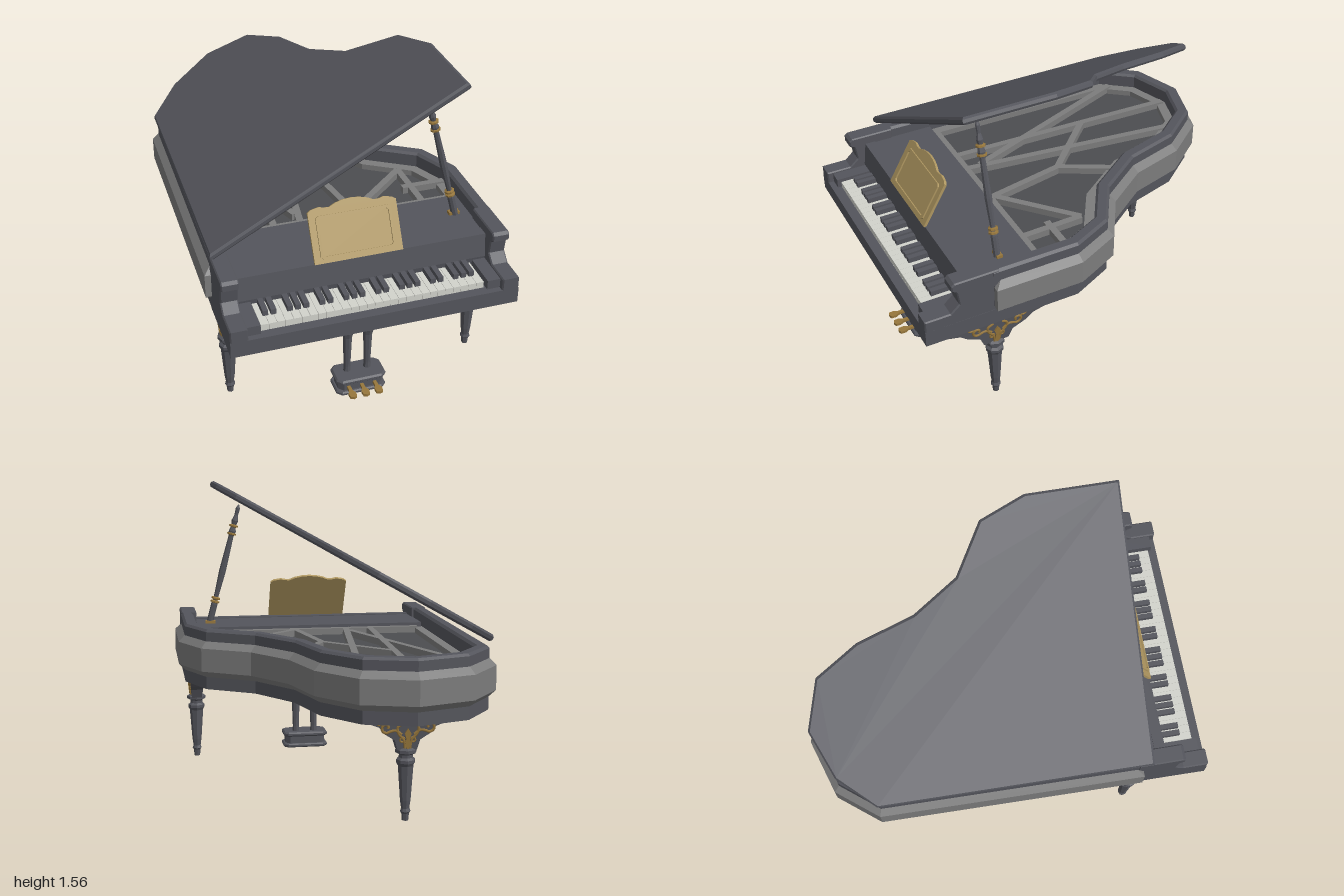
import * as THREE from 'three';

const mat = (name, color) => Object.assign(new THREE.MeshStandardMaterial({ color }), { name });

export function createModel() {
  const model = new THREE.Group();
  model.name = 'grandPiano';
  const body = mat('charcoal lacquer', 0x54555c);
  const grey = mat('grey band', 0x7c7c7c);
  const board = mat('soundboard grey', 0x4c4d50);
  const ivory = mat('ivory', 0xd2d3cc);
  const brass = mat('brass', 0x97773c);
  const deskGold = mat('desk gold', 0xae9660);

  // ---- helpers ----
  const add = (name, geo, material, parent = model) => {
    const m = new THREE.Mesh(geo, material);
    m.name = name;
    parent.add(m);
    return m;
  };
  const group = (name, parent = model) => {
    const g = new THREE.Group();
    g.name = name;
    parent.add(g);
    return g;
  };
  const flat = (g) => {
    const f = g.index ? g.toNonIndexed() : g;
    f.computeVertexNormals();
    return f;
  };
  const box = (name, x0, x1, y0, y1, z0, z1, material, parent) => {
    const m = add(name, new THREE.BoxGeometry(x1 - x0, y1 - y0, z1 - z0), material, parent);
    m.position.set((x0 + x1) / 2, (y0 + y1) / 2, (z0 + z1) / 2);
    return m;
  };
  const lathe = (pts, sides = 8) =>
    flat(new THREE.LatheGeometry(pts.map(([r, y]) => new THREE.Vector2(r, y)), sides));
  const shapeOf = (pts) => new THREE.Shape(pts.map(([a, b]) => new THREE.Vector2(a, b)));
  const extrude = (shape, depth, bevel = 0, bevelT = bevel) => new THREE.ExtrudeGeometry(shape, {
    depth: depth - 2 * bevelT, bevelEnabled: bevel > 0, bevelSegments: 1,
    bevelSize: bevel, bevelThickness: bevelT, bevelOffset: -bevel,
  }).translate(0, 0, bevelT);
  // Plan outline (x, z) raised from y0 to y1
  const slab = (pts, y0, y1, bevel, bevelT) =>
    extrude(shapeOf(pts.map(([x, z]) => [x, -z])), y1 - y0, bevel, bevelT)
      .rotateX(-Math.PI / 2).translate(0, y0, 0);
  // Side profile (z, y) given a width along x
  const sidePlate = (pts, width, bevel) =>
    extrude(shapeOf(pts), width, bevel).translate(0, 0, -width / 2).rotateY(-Math.PI / 2);
  // Inset an open outline, with mitred joints
  const inset = (pts, d) => pts.map((p, i) => {
    const n = (a, b) => {
      const l = Math.hypot(b[0] - a[0], b[1] - a[1]);
      return [-(b[1] - a[1]) / l, (b[0] - a[0]) / l];
    };
    const n1 = i ? n(pts[i - 1], p) : n(p, pts[1]);
    const n2 = i < pts.length - 1 ? n(p, pts[i + 1]) : n1;
    const k = d / (1 + n1[0] * n2[0] + n1[1] * n2[1]);
    return [p[0] + (n1[0] + n2[0]) * k, p[1] + (n1[1] + n2[1]) * k];
  });

  // ---- case ----
  const outline = [[-0.74, 0.65], [-0.725, -0.7], [-0.56, -0.91], [-0.28, -1], [-0.02, -0.92],
    [0.15, -0.7], [0.23, -0.41], [0.39, -0.18], [0.63, -0.03], [0.735, 0.2], [0.735, 0.65]];
  const strip = (a, b) => [...inset(outline, a), ...inset(outline, b).reverse()];
  const rimOuter = inset(outline, 0.033);
  add('rim', slab(strip(0.033, 0.1), 0.52, 0.828, 0.012), body);
  add('sideBand', slab(strip(0, 0.085), 0.58, 0.77, 0.035), grey);
  add('bottomAndKeyBed', slab([[-0.71, 1], ...rimOuter, [0.7, 1]], 0.518, 0.6), body);
  add('soundboard', slab(inset(outline, 0.08), 0.69, 0.72), board);

  const cheek = [[1, 0.52], [1, 0.66], [0.87, 0.66], [0.825, 0.7], [0.835, 0.77], [0.86, 0.785],
    [0.86, 0.815], [0.845, 0.828], [0.62, 0.828], [0.62, 0.52]];
  for (const s of [-1, 1]) {
    add('cheek', sidePlate(cheek, 0.085, 0.006), body).position.x = s * 0.6625 - 0.005;
    const a = s * 0.625 - 0.005, b = s * 0.555 - 0.005;
    box('keyBlock', Math.min(a, b), Math.max(a, b), 0.59, 0.648, 0.77, 0.97, body);
  }
  add('fallboard', sidePlate([[0.79, 0.66], [0.775, 0.78], [0.72, 0.78], [0.72, 0.6], [0.78, 0.6]], 1.25), body);
  box('musicShelf', -0.63, 0.62, 0.73, 0.775, 0.4, 0.74, body);

  // ---- iron frame inside the case ----
  const frame = group('ironFrame');
  add('frameEdge', slab(strip(0.1, 0.15), 0.72, 0.75), grey, frame);
  const struts = [[-0.33, 0.42, -0.29, -0.88], [-0.2, 0.42, -0.05, -0.8], [-0.2, 0.3, -0.58, -0.7],
    [0.1, 0.42, 0.01, -0.05], [0.01, -0.05, 0.16, -0.32], [0.01, -0.05, -0.3, -0.36],
    [0.1, 0.35, 0.44, 0.05], [-0.6, 0.38, 0.62, 0.38], [0.45, 0.4, 0.44, 0.05], [0.4, 0.22, 0.63, 0.22]];
  for (const [x0, z0, x1, z1] of struts) {
    const m = add('strut', new THREE.BoxGeometry(0.035, 0.035, Math.hypot(x1 - x0, z1 - z0)), grey, frame);
    m.position.set((x0 + x1) / 2, 0.742, (z0 + z1) / 2);
    m.rotation.y = Math.atan2(x1 - x0, z1 - z0);
  }

  // ---- keyboard: four octaves ----
  const keys = group('keyboard');
  const pitch = 1.095 / 28;
  for (let i = 0; i < 28; i++) {
    const x = -0.555 + i * pitch;
    box('whiteKey', x + 0.0007, x + pitch - 0.0007, 0.6, 0.633, 0.77, 0.95, ivory, keys);
    if (![2, 6].includes(i % 7))
      box('blackKey', x + pitch - 0.013, x + pitch + 0.013, 0.63, 0.66, 0.77, 0.89, body, keys);
  }

  // ---- open lid, hinged on the straight side ----
  const lidAngle = 0.511;
  const lidPlan = [[-0.715, 0.69], [-0.705, -0.7], [-0.55, -0.88], [-0.33, -0.97], [-0.11, -0.89],
    [0.01, -0.67], [0.09, -0.38], [0.22, -0.15], [0.44, 0], [0.52, 0.23], [0.52, 0.69]]
    .map(([x, z]) => [(x + 0.715) / Math.cos(lidAngle), z]);
  const lid = add('lid', slab(lidPlan, 0, 0.036, 0.01), body);
  lid.position.set(-0.705, 0.84, 0);
  lid.rotation.z = lidAngle;

  // ---- lid prop ----
  const prop = group('lidProp');
  prop.position.set(0.547, 0.775, 0.56);
  prop.rotation.z = 0.255;
  add('propStick', lathe([[0.018, 0], [0.018, 0.11], [0.014, 0.13], [0.013, 0.16], [0.019, 0.3], [0.014, 0.5],
    [0.02, 0.53], [0.012, 0.56], [0.018, 0.59], [0.01, 0.62], [0.012, 0.66], [0.003, 0.68]]), body, prop);
  for (const y of [0.125, 0.145, 0.515, 0.56])
    add('propRing', lathe([[0.014, -0.008], [0.025, -0.004], [0.025, 0.004], [0.014, 0.008]]), brass, prop).position.y = y;
  box('propCatch', 0.515, 0.57, 0.775, 0.79, 0.54, 0.57, brass);

  // ---- music desk ----
  const desk = group('musicDesk');
  desk.position.set(-0.0275, 0.775, 0.77);
  desk.rotation.x = -0.52;
  const half = [[0, 0.283], [0.04, 0.28], [0.08, 0.27], [0.11, 0.256], [0.135, 0.257], [0.16, 0.263],
    [0.2, 0.255], [0.218, 0.243], [0.218, 0]];
  const mirrored = half.slice(1).reverse().map(([x, y]) => [-x, y]);
  add('deskPanel', extrude(shapeOf([...half, ...mirrored]), 0.014), deskGold, desk);
  const rect = (w, y0, y1, c) => [[-w, y0 + c], [-w + c, y0], [w - c, y0], [w, y0 + c],
    [w, y1 - c], [w - c, y1], [-w + c, y1], [-w, y1 - c]];
  const moulding = shapeOf(rect(0.186, 0.018, 0.222, 0.012));
  moulding.holes.push(shapeOf(rect(0.172, 0.032, 0.208, 0.01)));
  add('deskMoulding', extrude(moulding, 0.009), deskGold, desk).position.z = 0.013;

  // ---- legs with brackets and brass scrolls ----
  const legGeo = lathe([[0, 0], [0.016, 0], [0.019, 0.035], [0.026, 0.045], [0.02, 0.06], [0.026, 0.1],
    [0.038, 0.27], [0.046, 0.285], [0.046, 0.3], [0.034, 0.31], [0.034, 0.325], [0.052, 0.335],
    [0.052, 0.35], [0.036, 0.36], [0.04, 0.385], [0.045, 0.42]]);
  const side = [[0.3, 0.52], [0.3, 0.495], [0.19, 0.465], [0.15, 0.43], [0.085, 0.4], [0.065, 0.35]];
  const bracketGeo = extrude(shapeOf([...side, ...side.slice().reverse().map(([a, y]) => [-a, y])]), 0.09)
    .translate(0, 0, -0.045);
  const bp = bracketGeo.attributes.position; // thinner towards the leg
  for (let i = 0; i < bp.count; i++) bp.setZ(i, bp.getZ(i) * (0.6 + 0.4 * (bp.getY(i) - 0.35) / 0.17));
  bracketGeo.computeVertexNormals();

  const tube = (pts, r = 0.007) => new THREE.TubeGeometry(
    new THREE.CatmullRomCurve3(pts.map(([a, b]) => new THREE.Vector3(a, b, 0))), 24, r, 5);
  const spiral = (cx, cy, r, a0, dir) => Array.from({ length: 9 }, (_, i) => {
    const a = a0 + dir * i * 0.75, q = r * (1 - i * 0.085);
    return [cx + q * Math.cos(a), cy + q * Math.sin(a)];
  });
  const leg = (name, x, z, turn, width) => {
    const g = group(name);
    g.position.set(x, 0, z);
    g.rotation.y = turn;
    add('turnedLeg', legGeo, body, g);
    add('bracket', bracketGeo, body, g).scale.x = width;
    const scrolls = group('scrollOrnament', g);
    scrolls.position.set(0, 0.36, 0.03);
    scrolls.rotation.x = 0.11;
    for (const s of [-1, 1]) {
      const flip = (pts) => pts.map(([a, b]) => [a * s, b]);
      add('stem', tube(flip([[0.012, 0], [0.018, 0.04], [0.045, 0.075], [0.05, 0.105], [0.02, 0.125]])), brass, scrolls);
      add('scroll', tube(flip([[0.03, 0.07], [0.06, 0.09], ...spiral(0.105, 0.105, 0.028, -2.4, 1)])), brass, scrolls);
      add('tip', tube(flip([[0.12, 0.125], [0.14, 0.12], [0.155, 0.132]]), 0.005), brass, scrolls);
      add('curl', tube(flip(spiral(0.025, 0.04, 0.016, 2.6, -1)), 0.005), brass, scrolls);
    }
    const leaf = shapeOf([[0, -0.01], [0.014, 0.02], [0.008, 0.05], [0.016, 0.075], [0, 0.1],
      [-0.016, 0.075], [-0.008, 0.05], [-0.014, 0.02]]);
    add('leaf', extrude(leaf, 0.009), brass, scrolls);
  };
  leg('frontLegLeft', 0.625, 0.625, Math.PI / 2, 1);
  leg('frontLegRight', -0.638, 0.625, -Math.PI / 2, 1);
  leg('backLeg', -0.285, -0.715, Math.PI, 0.72);

  // ---- pedal lyre ----
  const lyre = group('pedalLyre');
  const plinth = (w, z0, z1) => rect(w, z0, z1, 0.025).map(([x, z]) => [x - 0.0175, z]);
  add('lyreFoot', slab(plinth(0.128, 0.695, 0.84), 0, 0.022, 0.006), body, lyre);
  add('lyreBox', slab(plinth(0.115, 0.71, 0.825), 0.02, 0.066), body, lyre);
  add('lyreTop', slab(plinth(0.128, 0.695, 0.84), 0.064, 0.09, 0.008), body, lyre);
  const post = lathe([[0.02, 0.085], [0.018, 0.12], [0.024, 0.3], [0.031, 0.33], [0.025, 0.36], [0.031, 0.39],
    [0.026, 0.42], [0.027, 0.53]]);
  for (const x of [-0.07, 0.035]) add('lyrePost', post, body, lyre).position.set(x, 0, 0.752);
  const pedal = slab([[-0.008, 0.8], [0.008, 0.8], [0.009, 0.86], [0.019, 0.88], [0.017, 0.905], [0, 0.912],
    [-0.017, 0.905], [-0.019, 0.88], [-0.009, 0.86]], 0.034, 0.048);
  for (const x of [-0.085, -0.0175, 0.05]) add('pedal', pedal, brass, lyre).position.x = x;

  return model;
}
